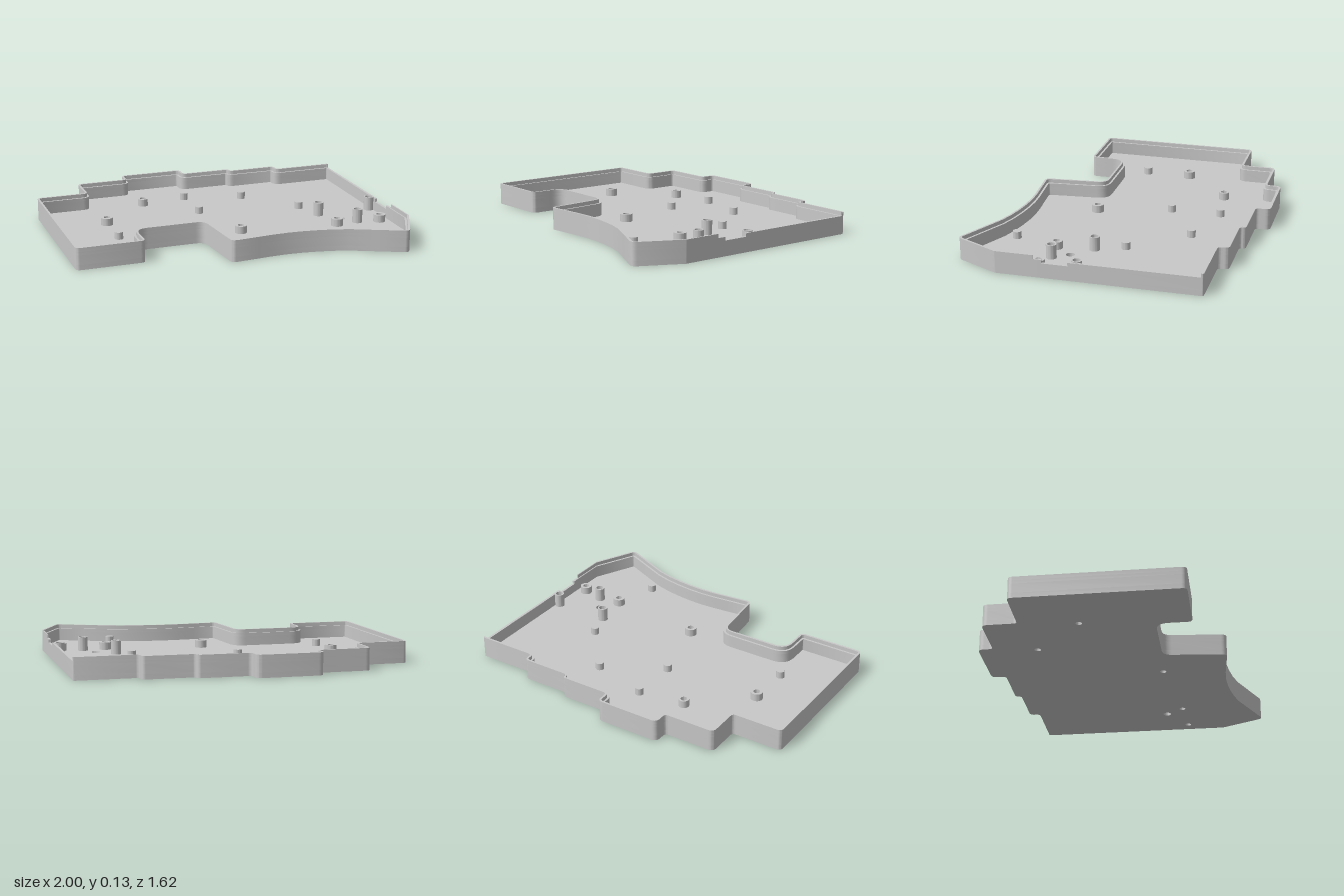
import * as THREE from 'three';
import { toCreasedNormals } from 'three/addons/utils/BufferGeometryUtils.js';

const FLOOR = 0.03, NOTCH = 0.087, LEDGE = 0.107, TOP = 0.13;
const WALL = 0.024, LIP = 0.012, RIGHT = 0.6; // the right wall is thinner

// Plan outline from the right wall clockwise: x, z, corner radius
const OUTLINE = [
  [1, 0.55, 0.02], [0.872, 0.815, 0.035],
  [0.7, 0.735, 0], [0.56, 0.67, 0], [0.47, 0.643, 0], [0.38, 0.625, 0], [0.29, 0.613, 0],
  [0.2, 0.608, 0], [0.11, 0.611, 0], [0.02, 0.619, 0], [-0.145, 0.633, 0.035],
  [-0.18, 0.254, 0.06], [-0.597, 0.254, 0.075], [-0.597, 0.462, 0.03], [-1, 0.462, 0.03],
  [-1, -0.52, 0.03], [-0.692, -0.52, 0.022], [-0.692, -0.725, 0.035], [-0.38, -0.725, 0.022],
  [-0.38, -0.813, 0.035], [0.016, -0.813, 0.035], [0.016, -0.725, 0.025], [0.327, -0.725, 0.025],
  [0.327, -0.688, 0.022], [0.632, -0.688, 0.03], [0.632, -0.624, 0.025], [1, -0.624, 0.01],
];

// Outline inset by d, with rounded corners; starts and ends on the right wall
function contour(d, zStart, zEnd) {
  const raw = [[1, zStart, 0], ...OUTLINE];
  if (zEnd !== undefined) raw.push([1, zEnd, 0]);
  const pts = raw.map(([x, z, r]) => ({ p: new THREE.Vector2(x, -z), r }));
  const n = pts.length;
  const dir = pts.map((a, i) => pts[(i + 1) % n].p.clone().sub(a.p).normalize());
  const gap = pts.map((a, i) => (a.p.x === 1 && pts[(i + 1) % n].p.x === 1 ? d * RIGHT : d));
  const out = [];
  pts.forEach(({ p, r }, i) => {
    const h = (i + n - 1) % n, d1 = dir[h], d2 = dir[i];
    // each corner is where the two inset edges cross
    const n1 = new THREE.Vector2(d1.y, -d1.x), n2 = new THREE.Vector2(d2.y, -d2.x);
    const det = n1.cross(n2), a = gap[h], b = gap[i];
    const q = p.clone();
    if (Math.abs(det) < 0.01) q.addScaledVector(n2, b);
    else q.add(new THREE.Vector2((a * n2.y - b * n1.y) / det, (b * n1.x - a * n2.x) / det));
    if (!r) { out.push(q); return; }
    const radius = Math.max(0.004, r + Math.sign(det) * d);
    const t = radius * Math.tan(Math.acos(THREE.MathUtils.clamp(d1.dot(d2), -1, 1)) / 2);
    const curve = new THREE.QuadraticBezierCurve(
      q.clone().addScaledVector(d1, -t), q, q.clone().addScaledVector(d2, t));
    out.push(...curve.getPoints(7));
  });
  return out;
}

// Extrudes a plan shape upwards from y0 to y1
function rise(shape, y0, y1) {
  const geo = new THREE.ExtrudeGeometry(shape, { depth: y1 - y0, bevelEnabled: false, curveSegments: 16 });
  geo.rotateX(-Math.PI / 2);
  geo.translate(0, y0, 0);
  return toCreasedNormals(geo, 0.6);
}

function circle(x, z, r) {
  return new THREE.Path().absarc(x, -z, r, 0, Math.PI * 2, true);
}

function disc(x, z, r, hole) {
  const s = new THREE.Shape().absarc(x, -z, r, 0, Math.PI * 2, false);
  if (hole) s.holes.push(circle(x, z, hole));
  return s;
}

// Full plan, counter-clockwise so that its holes run the other way
function plan() {
  return new THREE.Shape(contour(0, 0.28).reverse());
}

// Wall strip left open on the right side between zEnd and zStart
function strip(thickness, zStart, zEnd) {
  return new THREE.Shape([
    ...contour(0, zStart, zEnd), ...contour(thickness, zStart, zEnd).reverse()]);
}

export function createModel() {
  const group = new THREE.Group();
  group.name = 'caseTray';
  const grey = new THREE.MeshStandardMaterial({ color: 0xc8c8c8 });
  grey.name = 'grey plastic';
  const add = (name, shape, y0, y1) => {
    const mesh = new THREE.Mesh(rise(shape, y0, y1), grey);
    mesh.name = name;
    group.add(mesh);
  };

  // x, z and radius of the screw bosses
  const screws = [
    [-0.338, -0.465, 0.031], [-0.65, -0.175, 0.036], [0.057, 0.235, 0.036],
    [0.648, 0.305, 0.036], [0.922, 0.322, 0.036]];
  const pegs = [[-0.055, -0.5], [-0.055, -0.2], [0.297, -0.4], [0.562, -0.08], [-0.653, 0.1], [0.57, 0.57]];
  const posts = [[0.622, 0.088], [0.789, 0.291], [0.963, 0.088]];

  // Floor with screw holes and one access hole
  const floor = plan();
  for (const [x, z] of screws) floor.holes.push(circle(x, z, 0.019));
  floor.holes.push(circle(0.725, 0.2, 0.025));
  add('floor', floor, 0, FLOOR);

  // Wall, notched ledge and raised outer lip
  const wall = plan();
  wall.holes.push(new THREE.Path(contour(WALL, 0.28)));
  add('wall', wall, FLOOR, NOTCH);
  add('ledge', strip(WALL, 0.28, 0.13), NOTCH, LEDGE);
  add('lip', strip(LIP, 0.33, -0.61), LEDGE, TOP);

  // Standing supports
  for (const [x, z, r] of screws) add('screwBoss', disc(x, z, r, 0.019), FLOOR, 0.075);
  for (const [x, z] of pegs) add('supportPeg', disc(x, z, 0.025), FLOOR, 0.073);
  for (const [x, z] of posts) add('tallPost', disc(x, z, 0.03, 0.022), FLOOR, 0.113);
  return group;
}
